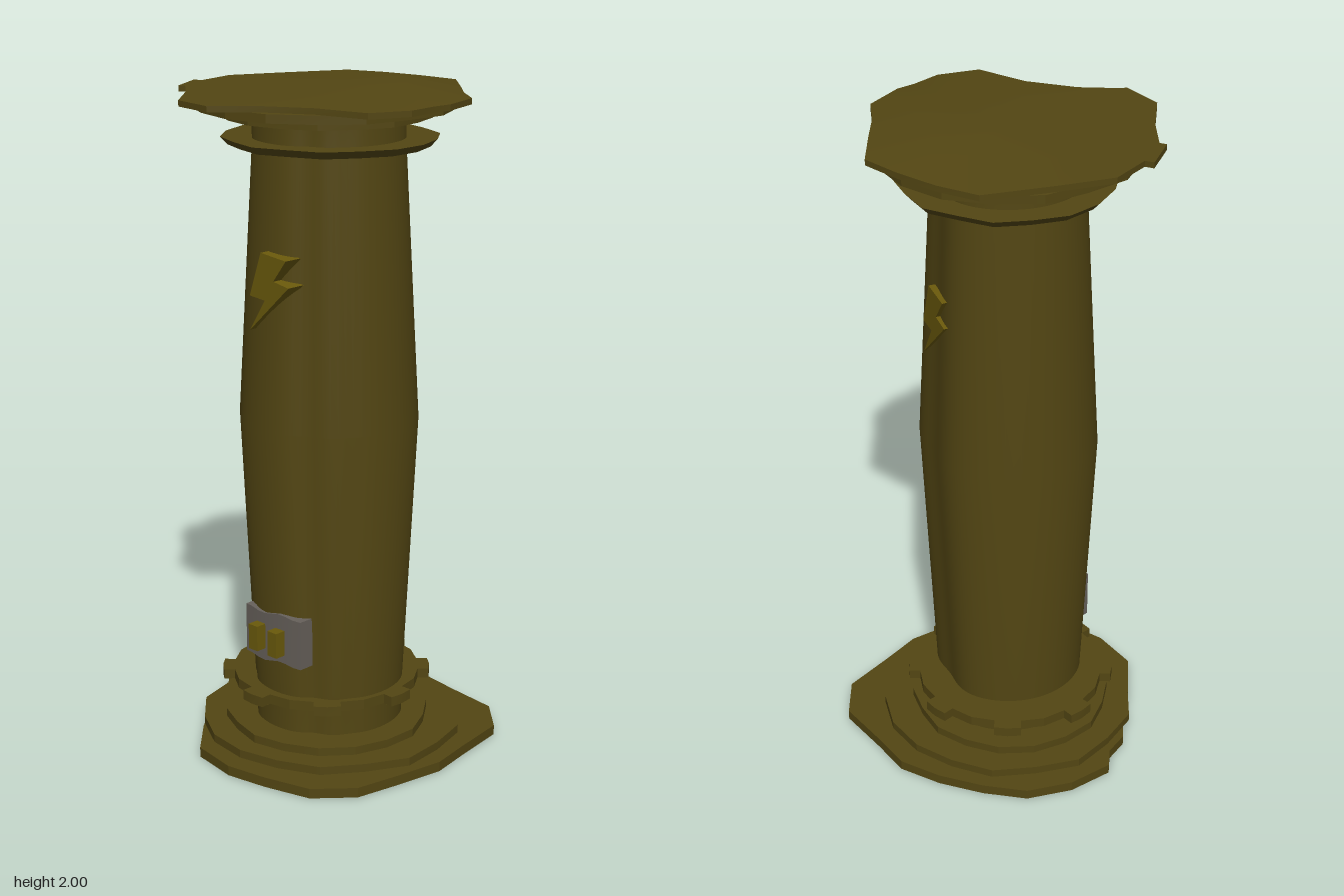
import * as THREE from 'three';
import { toCreasedNormals } from 'three/addons/utils/BufferGeometryUtils.js';

const stone = new THREE.MeshStandardMaterial({ color: 0x534613 });
const brass = new THREE.MeshStandardMaterial({ color: 0x6a590b });
const metal = new THREE.MeshStandardMaterial({ color: 0x66605a });

const V = (x, y, z) => new THREE.Vector3(x, y, z);
const polar = (a, r, y, cx = 0, cz = 0) => V(cx + r * Math.sin(a), y, cz + r * Math.cos(a));

// Skin closed rings from bottom to top and close both ends with fans.
function loft(rings, topY, crease = 0.3) {
  const pos = [];
  const tri = (...p) => p.forEach(v => pos.push(v.x, v.y, v.z));
  const n = rings[0].length, last = rings[rings.length - 1];
  const low = V(0, rings[0][0].y, 0), high = V(0, topY ?? last[0].y, 0);
  for (let i = 0; i < n; i++) {
    const j = (i + 1) % n;
    for (let k = 0; k + 1 < rings.length; k++) {
      const a = rings[k], b = rings[k + 1];
      tri(a[i], a[j], b[j]);
      tri(a[i], b[j], b[i]);
    }
    tri(low, rings[0][j], rings[0][i]);
    tri(high, last[i], last[j]);
  }
  const g = new THREE.BufferGeometry();
  g.setAttribute('position', new THREE.Float32BufferAttribute(pos, 3));
  return toCreasedNormals(g, crease);
}

// Worn outlines as x, z corners.
const baseOutline = [
  [0, -.46], [.13, -.44], [.3, -.42], [.4, -.325], [.425, -.15], [.447, -.02], [.42, .13],
  [.39, .27], [.295, .372], [.15, .412], [.02, .435], [-.13, .41], [-.235, .3], [-.315, .195],
  [-.385, .12], [-.405, .04], [-.45, -.01], [-.43, -.15], [-.365, -.275], [-.255, -.355], [-.13, -.42]].reverse();
const capOutline = [
  [0, -.405], [.125, -.41], [.24, -.3], [.32, -.22], [.41, -.15], [.445, -.02], [.44, .04],
  [.447, .135], [.395, .25], [.235, .285], [.1, .36], [.02, .435], [0, .46], [-.135, .44],
  [-.24, .32], [-.335, .235], [-.355, .243], [-.415, .13], [-.39, .12], [-.405, .04],
  [-.415, -.01], [-.345, -.16], [-.25, -.345], [-.13, -.385]].reverse();

// Uneven disc outline, each seed giving different wear.
function wornRing(r, y, seed, wear, cx, cz) {
  const ring = [];
  for (let i = 0; i < 18; i++) {
    const a = i / 18 * Math.PI * 2;
    ring.push(polar(a, r * (1 + wear * Math.sin(3 * a + seed) * Math.cos(5 * a + seed * 2)), y, cx, cz));
  }
  return ring;
}

// Shaft ring with soft hollows: angle in degrees, depth, width in degrees.
const hollows = [[30, .06, 10], [160, .12, 22], [-42, .035, 9], [58, .02, 8]];
function shaftRing(r, y, drift) {
  const ring = [];
  for (let d = -180; d < 180; d += 5) {
    let k = 1;
    for (const [at, depth, width] of hollows) {
      const off = (d - at + 540) % 360 - 180;
      k -= depth * Math.exp(-((off / width) ** 2));
    }
    ring.push(polar(THREE.MathUtils.degToRad(d) + drift, r * k, y, .003, -.006));
  }
  return ring;
}

// Ring with low square teeth.
function toothRing(y) {
  const ring = [];
  for (let i = 0; i < 8; i++) {
    const a = i * Math.PI / 4;
    for (const [d, r] of [[-.14, .283], [-.13, .316], [0, .318], [.13, .316], [.14, .283], [.39, .288]])
      ring.push(polar(a + d, r, y, -.032, -.03));
  }
  return ring;
}

function boltGeometry() {
  const pts = [[-.03, .11], [.07, .10], [.02, .035], [.08, .025], [-.075, -.12], [-.015, -.025], [-.075, -.02]];
  const shape = new THREE.Shape(pts.map(p => new THREE.Vector2(...p)));
  return new THREE.ExtrudeGeometry(shape, { depth: .06, bevelEnabled: false });
}

export function createModel() {
  const model = new THREE.Group();
  const add = (name, geometry, material, x = 0, y = 0, z = 0) => {
    const m = new THREE.Mesh(geometry, material);
    m.name = name;
    m.position.set(x, y, z);
    model.add(m);
    return m;
  };
  const disc = (name, r, y0, y1, seed, wear, cx = 0, cz = 0, lowR = r) =>
    add(name, loft([wornRing(lowR, y0, seed, wear, cx, cz), wornRing(r, y1, seed, wear, cx, cz)]), stone);

  // Stepped base
  add('baseSlab', loft([0, .03].map(y => baseOutline.map(([x, z]) => V(x, y, z)))), stone);
  disc('lowerBaseStep', .388, .03, .055, 1, .04, .005, -.01);
  disc('upperBaseStep', .308, .055, .08, 2.4, .03);
  add('toothedCollar', loft([toothRing(.165), toothRing(.195)]), stone);

  // Swelling shaft with straight necks
  add('shaft', loft([
    shaftRing(.226, .07, .04), shaftRing(.228, .2, .04),
    shaftRing(.269, 1.02, 0), shaftRing(.225, 1.83, -.04), shaftRing(.225, 1.91, -.04)], 1.91, .5), stone);

  // Stepped capital
  disc('upperCollar', .305, 1.82, 1.842, .6, .05, .005, -.01, .285);
  disc('lowerCapStep', .308, 1.903, 1.93, 3, .03);
  disc('upperCapStep', .385, 1.93, 1.955, 4.2, .04);

  // Cap slab with an uneven, gently domed top
  const edge = y => capOutline.map(([x, z]) => V(x, y, z));
  const dome = capOutline.map(([x, z]) => {
    const s = .23 / Math.hypot(x, z);
    return V(x * s, 1.985 + .046 * (x - z) * s, z * s);
  });
  add('capSlab', loft([edge(1.955), edge(1.972), dome], 1.987), stone);

  // Bolt ornaments on front and back
  add('frontBolt', boltGeometry(), brass, .03, 1.432, .205);
  const back = add('backBolt', boltGeometry(), brass, .055, 1.43, -.17);
  back.rotation.y = Math.PI - .34;

  // Switch plate, bowed around the shaft
  const plate = new THREE.BoxGeometry(.228, .15, .05, 8, 1, 1);
  const p = plate.attributes.position;
  for (let i = 0; i < p.count; i++) {
    const x = p.getX(i);
    p.setY(i, p.getY(i) + .05 * x + .005 * Math.sin(x * 45));
    p.setZ(i, p.getZ(i) - .6 * x * x);
  }
  plate.computeVertexNormals();
  add('switchPlate', toCreasedNormals(plate, .4), metal, .007, .377, .217);
  for (const x of [-.037, .043])
    add('switch', new THREE.BoxGeometry(.036, .078, .06), brass, x, .373, .245);

  return model;
}
